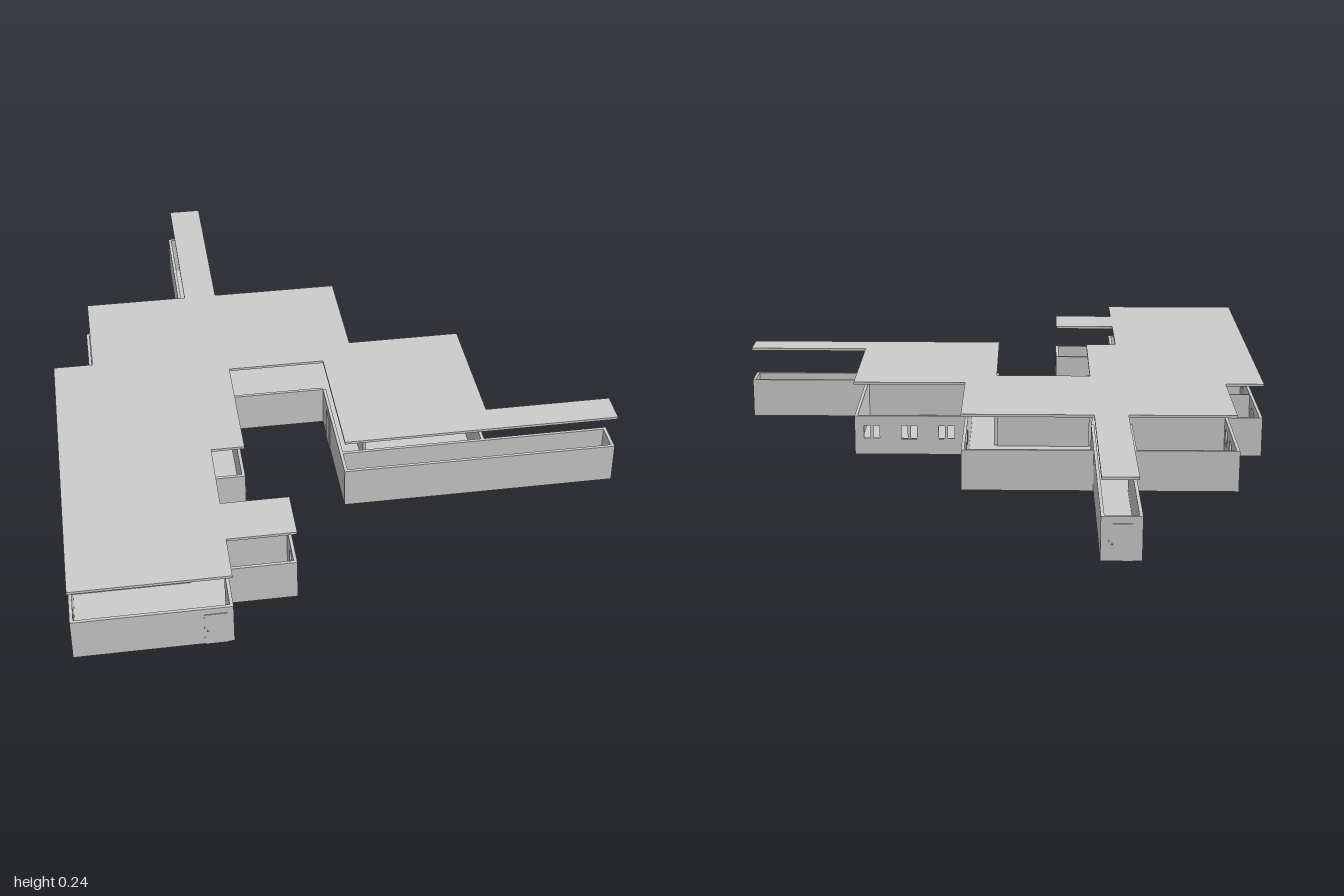
import * as THREE from 'three';

const WALL_H = 0.128, WALL_T = 0.01, FLOOR_T = 0.004;
const ROOF_Y = 0.232, ROOF_T = 0.008;

// Building footprint as [x, z], running clockwise seen from above.
// roofX is the slightly trimmed roof edge on the back-right side.
const footprint = (hallX, corridorX) => [
  [corridorX, -1], [-0.3, -1], [-0.3, -0.42], [0.1, -0.42], [0.1, -0.07], [0.455, -0.07],
  [0.455, 0.355], [0.845, 0.355], [0.845, 0.455], [0, 0.455], [0, 0.02], [-0.3, 0.02],
  [-0.3, 0.43], [-0.4, 0.43], [-0.4, 0.685], [-0.2, 0.685], [-0.2, 0.845], [-0.4, 0.845],
  [-0.4, 1], [-0.85, 1], [-0.85, -0.07], [hallX, -0.07], [hallX, -0.42], [corridorX, -0.42],
];

// Distances along each outer wall (by index) to window and door centres
const windows = {
  3: [0.05, 0.17, 0.3],
  4: [0.06, 0.18, 0.3],
  15: [0.085],
  19: Array.from({ length: 8 }, (_, i) => 0.075 + i * 0.134),
  21: [0.05, 0.17, 0.3],
};
const doors = { 0: 0.06, 7: 0.05, 9: 0.32, 11: 0.36, 18: 0.05 };

// Inner partitions: [x0, z0, x1, z1]
const partitions = [
  [0.005, 0.355, 0.455, 0.355],
  [0.1, -0.07, 0.1, 0.26],
  [-0.4, -0.07, -0.4, 0.43],
  [-0.42, -0.42, -0.42, -0.15],
  [-0.3, -0.42, -0.3, -0.15],
  [-0.73, -0.07, -0.4, -0.07],
  [-0.85, 0.2, -0.4, 0.2],
  [-0.85, 0.465, -0.4, 0.465],
  [-0.85, 0.735, -0.5, 0.735],
  [-0.4, 0.43, -0.4, 0.6],
];

export function createModel() {
  const model = new THREE.Group();
  const plaster = new THREE.MeshStandardMaterial({ color: 0xcccccc });
  plaster.name = 'plaster grey';

  const add = (parent, name, geometry, x = 0, y = 0, z = 0) => {
    const mesh = new THREE.Mesh(geometry, plaster);
    mesh.name = name;
    mesh.position.set(x, y, z);
    parent.add(mesh);
    return mesh;
  };
  const box = (w, h, d) => new THREE.BoxGeometry(w, h, d);

  // Flat slab over a footprint
  const slab = (points, depth) => {
    const shape = new THREE.Shape(points.map(([x, z]) => new THREE.Vector2(x, -z)));
    return new THREE.ExtrudeGeometry(shape, { depth, bevelEnabled: false }).rotateX(-Math.PI / 2);
  };

  // Wall from a to b with window openings; local z points into the building
  const wall = (name, [x0, z0], [x1, z1], openings = [], door) => {
    const length = Math.hypot(x1 - x0, z1 - z0);
    const group = new THREE.Group();
    group.name = name;
    group.position.set(x0, 0, z0);
    group.rotation.y = Math.atan2(z0 - z1, x1 - x0);
    model.add(group);

    const shape = new THREE.Shape();
    shape.moveTo(0, 0).lineTo(length, 0).lineTo(length, WALL_H).lineTo(0, WALL_H).closePath();
    for (const s of openings) {
      const hole = new THREE.Path();
      hole.moveTo(s - 0.025, 0.05).lineTo(s - 0.025, 0.098);
      hole.lineTo(s + 0.025, 0.098).lineTo(s + 0.025, 0.05).closePath();
      shape.holes.push(hole);
      // Mullion with head and sill
      add(group, 'windowMullion', box(0.01, 0.048, 0.004), s, 0.074, 0.005);
      for (const y of [0.0515, 0.0965]) add(group, 'windowRail', box(0.05, 0.003, 0.004), s, y, 0.005);
    }
    add(group, 'wallPanel', new THREE.ExtrudeGeometry(shape, { depth: WALL_T, bevelEnabled: false }));

    if (door !== undefined) {
      add(group, 'doorLeaf', box(0.065, 0.108, 0.003), door, 0.054, -0.001);
      add(group, 'doorKnob', new THREE.SphereGeometry(0.003, 8, 6), door + 0.024, 0.05, -0.004);
    }
  };

  const outline = footprint(-0.74, -0.415);
  add(model, 'floor', slab(outline, FLOOR_T));
  add(model, 'roof', slab(footprint(-0.728, -0.403), ROOF_T), 0, ROOF_Y, 0);

  outline.forEach((start, i) => {
    wall('outerWall', start, outline[(i + 1) % outline.length], windows[i], doors[i]);
  });
  for (const [x0, z0, x1, z1] of partitions) wall('partition', [x0, z0], [x1, z1]);

  return model;
}
